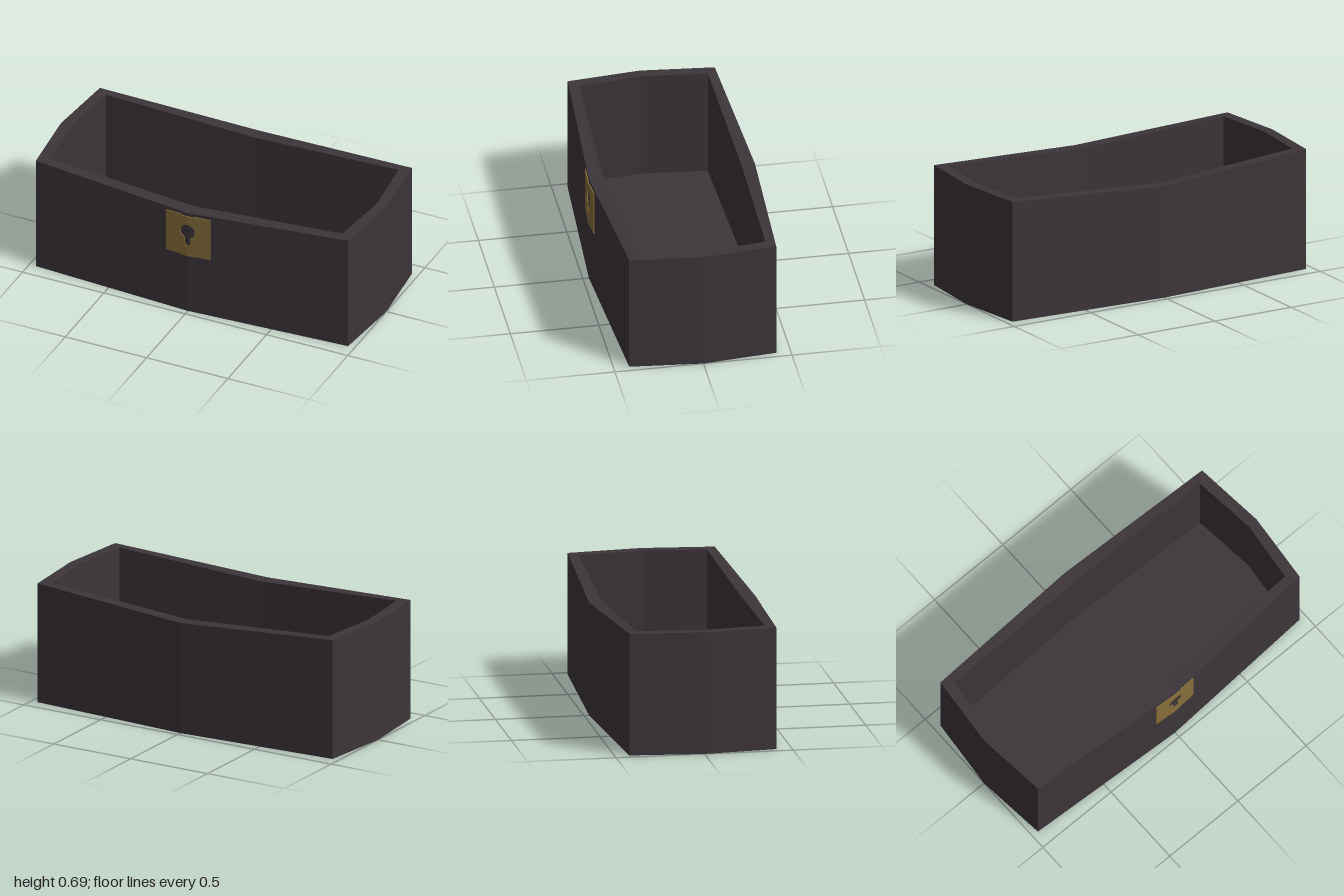
import * as THREE from 'three';

const wood = new THREE.MeshStandardMaterial({ name: 'darkWood', color: 0x3c353a });
const brass = new THREE.MeshStandardMaterial({ name: 'agedBrass', color: 0x876f3a });

// Eight-cornered outline, counter-clockwise from above: end, corner, middle, corner, ...
function ring(end, cornerX, cornerF, cornerB, midF, midB, yHigh, yMid) {
  return [
    [end, yHigh, 0], [cornerX, yHigh, -cornerB], [0, yMid, -midB], [-cornerX, yHigh, -cornerB],
    [-end, yHigh, 0], [-cornerX, yHigh, cornerF], [0, yMid, midF], [cornerX, yHigh, cornerF],
  ];
}

// Flat-faceted skin through the rings, closed at both ends
function loft(rings) {
  const p = [];
  const tri = (...corners) => corners.forEach((c) => p.push(...c));
  const n = rings[0].length;
  for (let i = 0; i < n; i++) {
    const j = (i + 1) % n;
    for (let r = 0; r < rings.length - 1; r++) {
      const a = rings[r], b = rings[r + 1];
      tri(a[i], a[j], b[j]);
      tri(a[i], b[j], b[i]);
    }
    const first = rings[0], last = rings[rings.length - 1];
    tri([0, first[0][1], 0], first[j], first[i]);
    tri([0, last[0][1], 0], last[i], last[j]);
  }
  const g = new THREE.BufferGeometry();
  g.setAttribute('position', new THREE.Float32BufferAttribute(p, 3));
  g.computeVertexNormals();
  return g;
}

// Half of the lock plate with half a keyhole cut from its inner edge, leaning back with the wall
function halfPlate(side) {
  const pts = [[0, 0.365], [0.04, 0.365], [0.04, 0.37], [0.135, 0.37],
    [0.135, 0.63], [0.04, 0.63], [0.04, 0.624], [0, 0.624]];
  const cy = 0.525, radius = 0.045, slot = 0.017;
  const start = Math.PI / 2, stop = -Math.acos(slot / radius);
  for (let i = 0; i <= 8; i++) {
    const a = start + (stop - start) * i / 8;
    pts.push([Math.max(0, Math.cos(a) * radius), cy + Math.sin(a) * radius]);
  }
  pts.push([slot, 0.447], [slot * 0.7, 0.435], [0, 0.43]);
  const shape = new THREE.Shape(pts.map(([x, y]) => new THREE.Vector2(side * x, y)));
  const g = new THREE.ExtrudeGeometry(shape, { depth: 0.007, bevelEnabled: false });
  const pos = g.attributes.position;
  for (let i = 0; i < pos.count; i++) {
    pos.setZ(i, pos.getZ(i) + 0.465 - Math.abs(pos.getX(i)) * 0.054 / 0.96);
  }
  g.computeVertexNormals();
  return g;
}

export function createModel() {
  const model = new THREE.Group();
  model.name = 'openChest';

  // Hollow box: outer wall, sagging rim, inner wall and floor
  const outer = [1, 0.96, 0.412, 0.418, 0.466, 0.471];
  const inner = [0.94, 0.9, 0.358, 0.368, 0.385, 0.395];
  const box = new THREE.Mesh(loft([
    ring(...outer, 0, 0), ring(...outer, 0.695, 0.645),
    ring(...inner, 0.695, 0.645), ring(...inner, 0.06, 0.06),
  ]), wood);
  box.name = 'chestBox';
  model.add(box);

  // Lock plate on the front
  const lock = new THREE.Group();
  lock.name = 'lockPlate';
  for (const side of [1, -1]) {
    const half = new THREE.Mesh(halfPlate(side), brass);
    half.name = side > 0 ? 'lockPlateLeft' : 'lockPlateRight';
    lock.add(half);
  }
  model.add(lock);
  return model;
}
